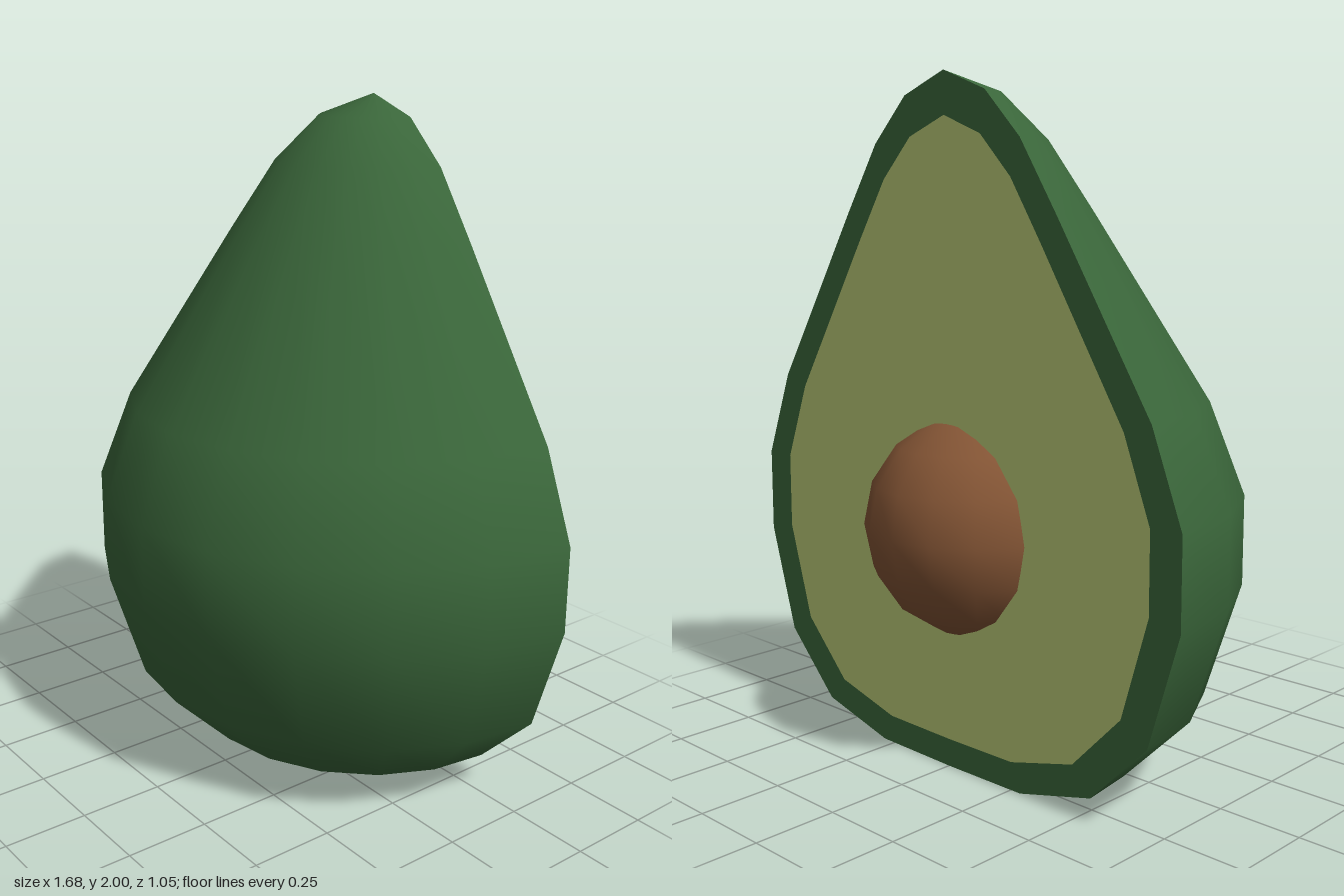
import * as THREE from 'three';

const CUT_Z = -0.315;

// Half outline of the fruit, bottom to top: [radius, height]
const PROFILE = [
  [0, 0], [0.29, 0.003], [0.55, 0.07], [0.74, 0.26], [0.84, 0.585], [0.84, 0.84],
  [0.74, 1.1], [0.42, 1.61], [0.29, 1.81], [0.16, 1.94], [0, 2],
];

// Closed, mirrored outline, optionally shrunk towards the inside
function outline(sx = 1, sy = 1, dy = 0) {
  const half = PROFILE.map(([r, y]) => new THREE.Vector2(r * sx, y * sy + dy));
  const mirrored = half.slice(1, -1).reverse().map((p) => new THREE.Vector2(-p.x, p.y));
  return [...half, ...mirrored];
}

export function createModel() {
  const group = new THREE.Group();
  group.name = 'halvedAvocado';

  const material = (name, color) => {
    const m = new THREE.MeshStandardMaterial({ color });
    m.name = name;
    return m;
  };
  const skinGreen = material('skinGreen', 0x3a663a);
  const fleshGreen = material('fleshGreen', 0xb9ca77);
  const seedBrown = material('seedBrown', 0x845535);

  const add = (name, geometry, mat, y, z) => {
    const mesh = new THREE.Mesh(geometry, mat);
    mesh.name = name;
    mesh.position.set(0, y, z);
    group.add(mesh);
  };

  // Rounded skin: half a turn of the profile
  const points = PROFILE.map(([r, y]) => new THREE.Vector2(r, y));
  add('skin', new THREE.LatheGeometry(points, 10, -Math.PI / 2, Math.PI), skinGreen, 0, CUT_Z);

  // Flat cut side: skin rim around the flesh, both facing back
  const inner = outline(0.88, 0.898, 0.083);
  const rim = new THREE.Shape(outline());
  rim.holes.push(new THREE.Path(inner));
  add('rim', new THREE.ShapeGeometry(rim).rotateY(Math.PI), skinGreen, 0, CUT_Z);
  add('flesh', new THREE.ShapeGeometry(new THREE.Shape(inner)).rotateY(Math.PI), fleshGreen, 0, CUT_Z);

  // Seed, partly sunk into the flesh
  add('seed', new THREE.SphereGeometry(0.331, 16, 8), seedBrown, 0.714, -0.194);

  return group;
}
